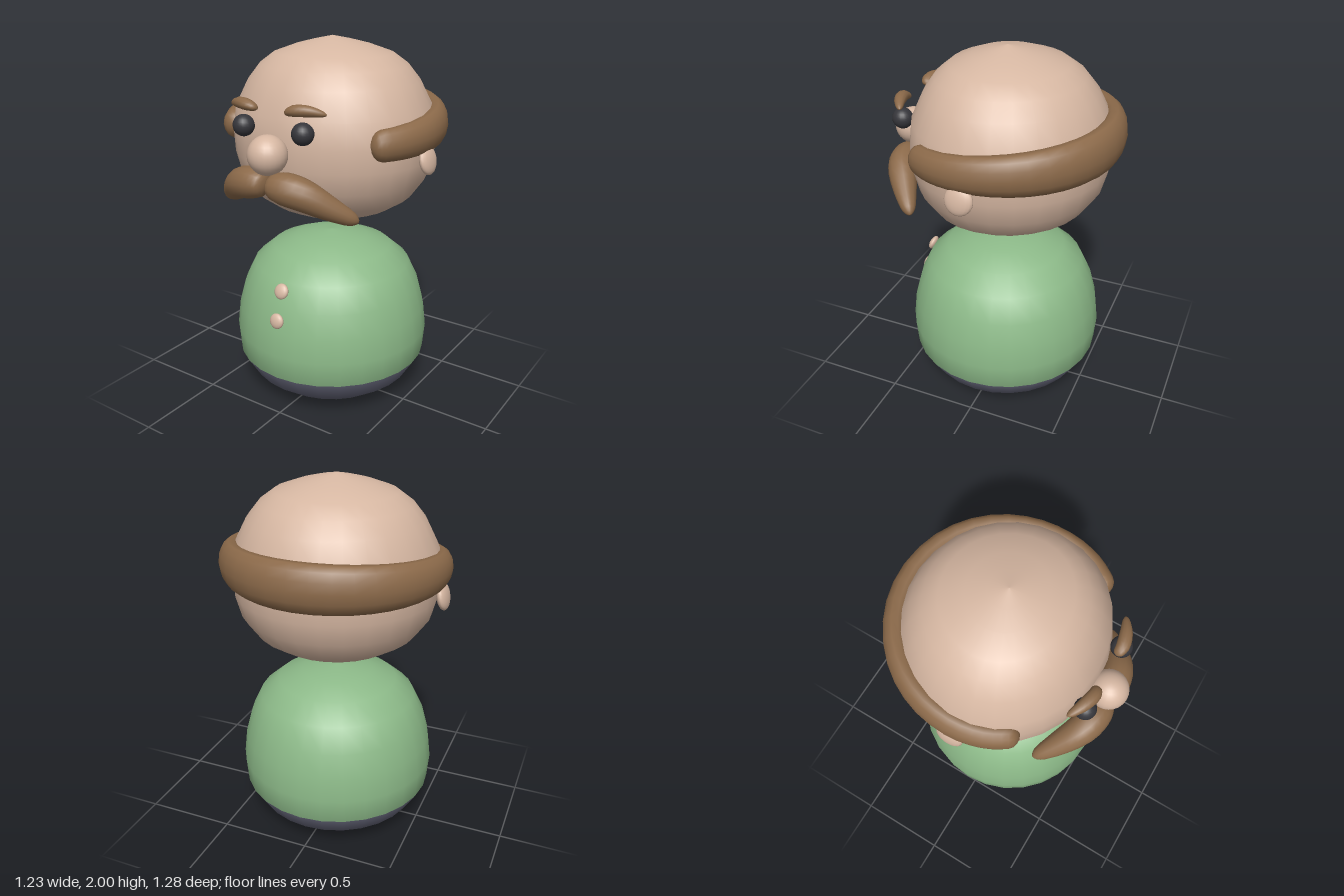
import * as THREE from 'three';

const mat = (name, color) => {
  const m = new THREE.MeshStandardMaterial({ color });
  m.name = name;
  return m;
};

// Smooth tapered tube through stations [x, y, z, halfWidth, halfHeight] with rounded ends
function sweep(stations, steps, sides, cap) {
  const path = new THREE.CatmullRomCurve3(stations.map(s => new THREE.Vector3(s[0], s[1], s[2])), false, 'catmullrom');
  const size = new THREE.CatmullRomCurve3(stations.map(s => new THREE.Vector3(s[3], s[4], 0)), false, 'catmullrom');
  const pos = [], index = [];
  for (let i = 0; i <= steps; i++) {
    const t = (1 - Math.cos(Math.PI * i / steps)) / 2;
    const p = path.getPoint(t), r = size.getPoint(t), tan = path.getTangent(t);
    const side = new THREE.Vector3(0, 1, 0).cross(tan).normalize();
    const up = tan.clone().cross(side);
    const d = Math.min(1, Math.min(t, 1 - t) / cap);
    const round = Math.sqrt(Math.max(0, 1 - (1 - d) ** 2));
    for (let j = 0; j < sides; j++) {
      const a = j / sides * Math.PI * 2;
      const v = p.clone()
        .addScaledVector(side, r.x * round * Math.cos(a))
        .addScaledVector(up, r.y * round * Math.sin(a));
      pos.push(v.x, v.y, v.z);
      if (i < steps) {
        const q = i * sides + j, n = i * sides + (j + 1) % sides;
        index.push(q, n, q + sides, n, n + sides, q + sides);
      }
    }
  }
  const g = new THREE.BufferGeometry();
  g.setAttribute('position', new THREE.Float32BufferAttribute(pos, 3));
  g.setIndex(index);
  g.computeVertexNormals();
  return g;
}

const lathe = pts => new THREE.LatheGeometry(pts.map(p => new THREE.Vector2(p[0], p[1])), 28);

export function createModel() {
  const model = new THREE.Group();
  const skin = mat('skin', 0xd6b7a2), hair = mat('hair brown', 0x8c6a4a);
  const shirt = mat('shirt green', 0x8cb988), trousers = mat('trousers grey', 0x5f6072);
  const black = mat('eye black', 0x36363b);

  const add = (name, geo, material, x = 0, y = 0, z = 0) => {
    const m = new THREE.Mesh(geo, material);
    m.name = name;
    m.position.set(x, y, z);
    model.add(m);
    return m;
  };

  // Body: one lathe, faces below the waist go to the trousers group
  const body = lathe([[0, 0.005], [0.22, 0.016], [0.365, 0.05], [0.465, 0.125], [0.535, 0.24], [0.546, 0.376],
    [0.53, 0.51], [0.495, 0.64], [0.435, 0.765], [0.33, 0.855], [0.2, 0.905], [0.1, 0.925], [0, 0.935]]);
  const upper = [], lower = [], idx = body.index.array, bp = body.attributes.position;
  for (let i = 0; i < idx.length; i += 3) {
    const tri = [idx[i], idx[i + 1], idx[i + 2]];
    const y = tri.reduce((s, k) => s + bp.getY(k), 0) / 3;
    (y < 0.24 ? lower : upper).push(...tri);
  }
  body.setIndex([...upper, ...lower]);
  body.addGroup(0, upper.length, 0);
  body.addGroup(upper.length, lower.length, 1);
  add('body', body, [shirt, trousers], 0, 0, -0.013);

  // Shirt buttons
  for (const [y, z, tilt] of [[0.727, 0.459, -0.4], [0.573, 0.505, -0.2]]) {
    const b = add('button', new THREE.SphereGeometry(0.042, 16, 10), skin, 0, y, z);
    b.scale.z = 0.5;
    b.rotation.x = tilt;
  }

  // Head: lathe with a slightly flattened face
  const head = lathe([[0, 1.015], [0.1, 1.03], [0.22, 1.058], [0.34, 1.105], [0.44, 1.17], [0.515, 1.275], [0.546, 1.39],
    [0.553, 1.51], [0.535, 1.64], [0.465, 1.775], [0.4, 1.855], [0.32, 1.913], [0.2, 1.955], [0.1, 1.98], [0, 2]]);
  const hp = head.attributes.position;
  for (let i = 0; i < hp.count; i++) if (hp.getZ(i) > 0) hp.setZ(i, hp.getZ(i) * 0.9);
  head.computeVertexNormals();
  // Rejoin the normals along the lathe seam
  const hn = head.attributes.normal, rows = 15;
  for (let j = 0; j < rows; j++) {
    const k = hn.count - rows + j;
    const n = new THREE.Vector3(0, hn.getY(j), hn.getZ(j)).normalize();
    hn.setXYZ(j, n.x, n.y, n.z);
    hn.setXYZ(k, n.x, n.y, n.z);
  }
  add('head', head, skin, 0, 0, -0.02);

  // Hair band round the back, taller behind
  const band = [];
  for (let k = 0; k <= 14; k++) {
    const a = THREE.MathUtils.degToRad(52 + 256 * k / 14);
    const c = Math.cos(a), back = (0.62 - c) / 1.62;
    band.push([0.545 * Math.sin(a), 1.525 + 0.05 * back, -0.02 + c * (c > 0 ? 0.51 : 0.545),
      0.062 + 0.012 * back, 0.077 + 0.048 * back]);
  }
  add('hairBand', sweep(band, 40, 14, 0.025), hair);

  // Nose
  add('nose', new THREE.SphereGeometry(0.1, 24, 16), skin, 0, 1.48, 0.54);

  // Paired features
  for (const s of [1, -1]) {
    const side = s > 0 ? 'left' : 'right';
    add(side + 'Eye', new THREE.SphereGeometry(0.055, 20, 14), black, 0.18 * s, 1.597, 0.497);

    const ear = add(side + 'Ear', new THREE.SphereGeometry(0.075, 18, 12), skin, 0.58 * s, 1.42, -0.012);
    ear.scale.x = 0.4;
    ear.rotation.z = 0.22 * s;

    const brow = [[0.088, 1.688, 0.5, 0.022, 0.014], [0.14, 1.704, 0.508, 0.033, 0.028],
      [0.21, 1.706, 0.488, 0.03, 0.027], [0.285, 1.69, 0.45, 0.014, 0.012]];
    add(side + 'Eyebrow', sweep(brow.map(p => [p[0] * s, ...p.slice(1)]), 16, 12, 0.12), hair);

    const tache = [[0.008, 1.325, 0.54, 0.06, 0.055], [0.09, 1.328, 0.54, 0.08, 0.08],
      [0.19, 1.305, 0.515, 0.08, 0.08], [0.3, 1.237, 0.445, 0.062, 0.06], [0.41, 1.165, 0.36, 0.03, 0.03]];
    add(side + 'Moustache', sweep(tache.map(p => [p[0] * s, ...p.slice(1)]), 20, 16, 0.09), hair);
  }
  return model;
}
